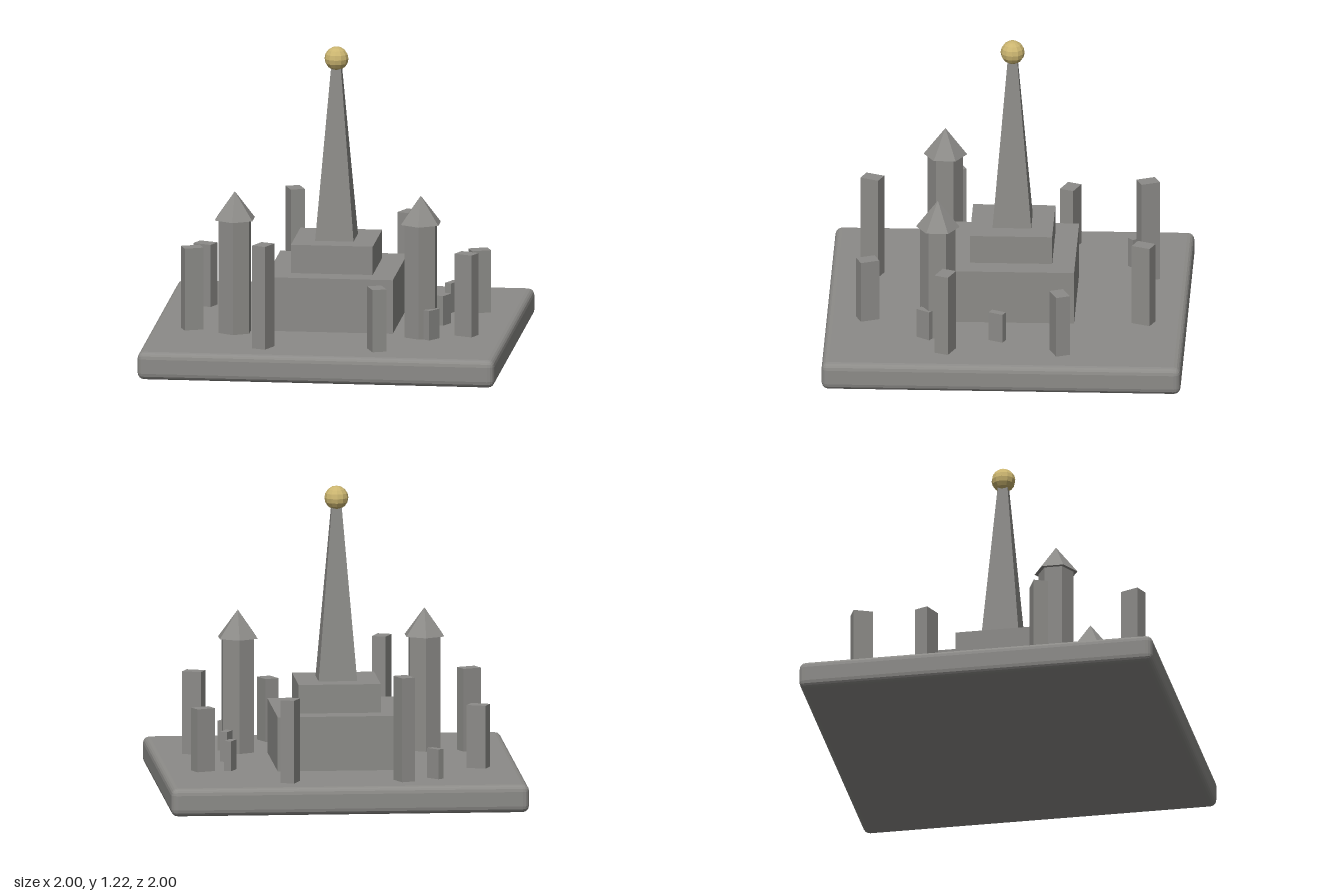
import * as THREE from 'three';
import { RoundedBoxGeometry } from 'three/addons/geometries/RoundedBoxGeometry.js';

export function createModel() {
  const model = new THREE.Group();
  const stone = new THREE.MeshStandardMaterial({ color: 0x8c8b88, flatShading: true });
  stone.name = 'stone';
  const gold = new THREE.MeshStandardMaterial({ color: 0xcbb570, flatShading: true });
  gold.name = 'gold';

  const DECK = 0.112; // top of the base slab
  const Q = Math.PI / 4;

  function add(name, geometry, x, y, z, turn = 0, material = stone, parent = model) {
    const mesh = new THREE.Mesh(geometry, material);
    mesh.name = name;
    mesh.position.set(x, y, z);
    mesh.rotation.y = turn;
    parent.add(mesh);
    return mesh;
  }

  // Box standing between two heights
  function block(name, w, d, y0, y1, x, z, turn) {
    return add(name, new THREE.BoxGeometry(w, y1 - y0, d), x, (y0 + y1) / 2, z, turn);
  }

  // Diamond-set base slab with softened edges
  add('baseSlab', new RoundedBoxGeometry(1.43, DECK, 1.43, 2, 0.027), 0, DECK / 2, 0, Q);

  // Stepped plinth, tapering spire and ball
  const c = -0.013;
  block('lowerTier', 0.51, 0.51, DECK - 0.01, 0.33, c, c, Q);
  block('upperTier', 0.328, 0.328, 0.33, 0.445, c, c, Q);
  add('spire', new THREE.CylinderGeometry(0.026, 0.109, 0.71, 4), c, 0.8, c);
  add('spireBall', new THREE.SphereGeometry(0.048, 12, 8), c, 1.173, c, Q, gold);

  // Ring of eight pillars, long side pointing outward
  const heights = [0.365, 0.53, 0.445];
  for (let i = 0; i < 8; i++) {
    const a = Math.PI / 8 + (i - 1) * Q;
    const top = heights[(i + 2) % 3];
    block('ringPillar', 0.078, 0.058, DECK - 0.01, top,
      0.595 * Math.cos(a), 0.595 * Math.sin(a), -a);
  }

  // Short posts: x, z, heading of the long side in degrees
  const posts = [[0.157, -0.465, 70], [0.326, -0.29, 70], [-0.604, -0.1, 4], [0.518, -0.075, 80]];
  for (const [x, z, deg] of posts) {
    block('shortPost', 0.062, 0.03, DECK - 0.01, 0.232, x, z, -deg * Math.PI / 180);
  }

  // Two six-sided towers with pointed roofs
  for (const [x, z] of [[-0.078, 0.452], [0.449, -0.075]]) {
    const tower = new THREE.Group();
    tower.name = 'tower';
    tower.position.set(x, 0, z);
    tower.rotation.y = Q;
    add('towerBody', new THREE.CylinderGeometry(0.071, 0.071, 0.47, 6), 0, 0.337, 0, 0, stone, tower);
    add('towerRoof', new THREE.ConeGeometry(0.087, 0.112, 6), 0, 0.627, 0, 0, stone, tower);
    model.add(tower);
  }

  return model;
}
